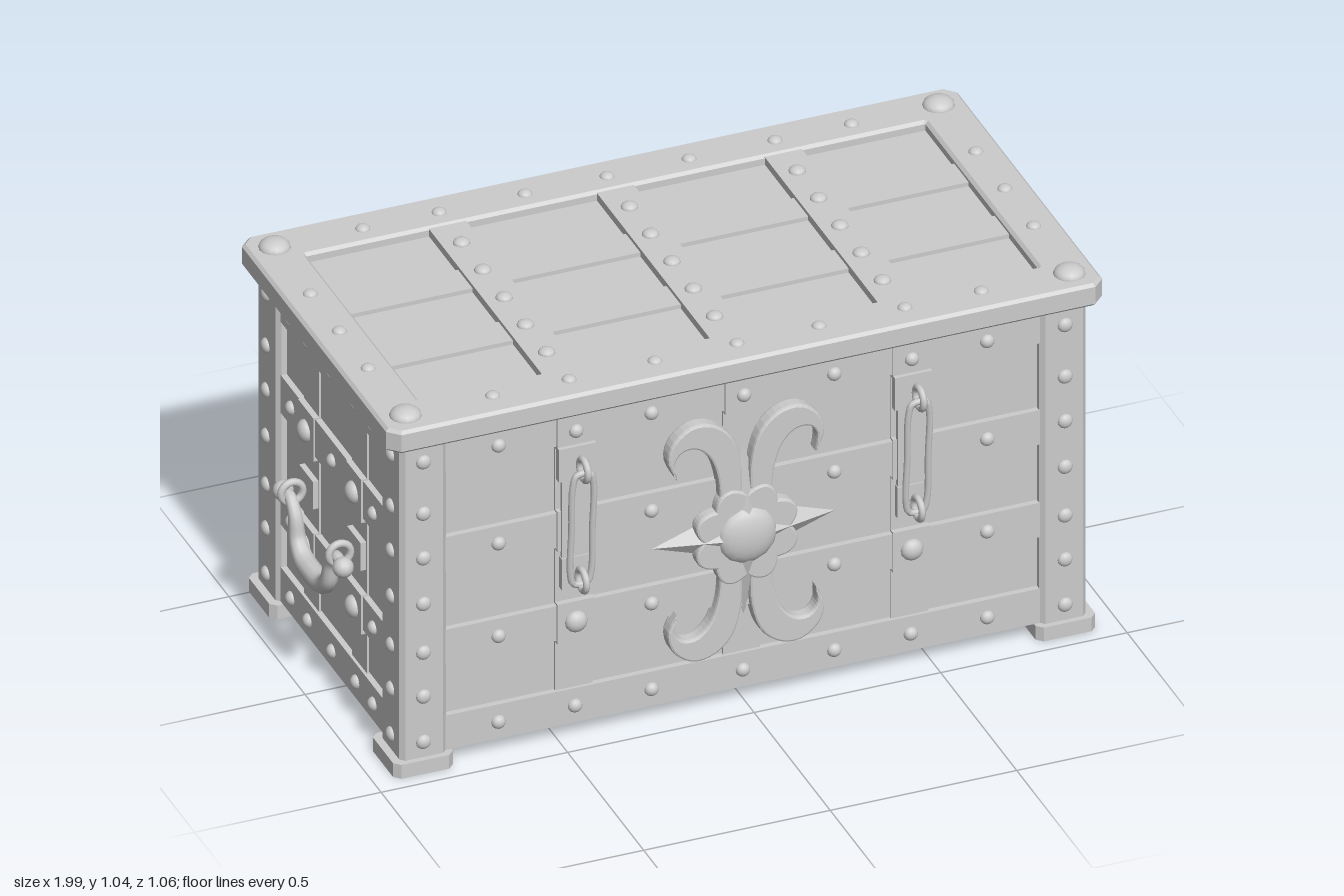
import * as THREE from 'three';

const steel = new THREE.MeshStandardMaterial({ color: 0xcccccc, side: THREE.DoubleSide });
const faceted = new THREE.MeshStandardMaterial({ color: 0xcccccc, side: THREE.DoubleSide, flatShading: true });
const V = (x, y, z) => new THREE.Vector3(x, y, z);

function add(parent, name, geometry, x = 0, y = 0, z = 0, material = steel) {
  const mesh = new THREE.Mesh(geometry, material);
  mesh.name = name;
  mesh.position.set(x, y, z);
  parent.add(mesh);
  return mesh;
}

// Half dome facing +z
const domeGeometry = new THREE.SphereGeometry(1, 14, 6, 0, Math.PI * 2, 0, Math.PI / 2).rotateX(Math.PI / 2);
function rivet(parent, x, y, z, r = 0.02, h = 0.014, name = 'rivet') {
  const m = add(parent, name, domeGeometry, x, y, z);
  m.scale.set(r, r, h);
  return m;
}

// Rectangle with cut corners, optionally with a similar hole
function rectangle(w, d, cut, holeW, holeD) {
  const trace = (p, a, b, c) => p.setFromPoints([[a - c, -b], [a, c - b], [a, b - c], [a - c, b],
    [c - a, b], [-a, b - c], [-a, c - b], [c - a, -b]].map(([x, y]) => new THREE.Vector2(x, y)));
  const shape = trace(new THREE.Shape(), w / 2, d / 2, cut);
  if (holeW) shape.holes.push(trace(new THREE.Path(), holeW / 2, holeD / 2, 0.002));
  return shape;
}

function upright(shape, height, bevel = 0) {
  const g = new THREE.ExtrudeGeometry(shape, {
    depth: height - 2 * bevel, bevelEnabled: bevel > 0, bevelSize: bevel,
    bevelThickness: bevel, bevelOffset: -bevel, bevelSegments: 1,
  });
  return g.translate(0, 0, bevel).rotateX(-Math.PI / 2);
}

// Thin stepped sheet: raised over each [bottom, top] band, set back elsewhere
function steppedSheet(bands, y0, y1, low, high, length, t = 0.005) {
  const side = (shift, inset) => {
    const pts = [];
    const put = (z, y) => pts.push(new THREE.Vector2(z - shift, y));
    if (bands[0][0] > y0) put(low, y0);
    for (const [a, b] of bands) {
      const bottom = a <= y0 ? y0 : a + inset, top = b >= y1 ? y1 : b - inset;
      if (a > y0) put(low, bottom);
      put(high, bottom);
      put(high, top);
      if (b < y1) put(low, top);
    }
    if (bands[bands.length - 1][1] < y1) put(low, y1);
    return pts;
  };
  const shape = new THREE.Shape([...side(0, 0), ...side(t, t).reverse()]);
  return new THREE.ExtrudeGeometry(shape, { depth: length, bevelEnabled: false })
    .translate(0, 0, -length / 2).rotateY(-Math.PI / 2);
}

// One wall facing +z, with bands, straps and rivets
function wall(root, o) {
  const g = new THREE.Group();
  g.name = o.name;
  g.rotation.y = o.turn;
  root.add(g);
  const bands = [[0.04, 0.14], o.lowBand, o.highBand, [0.855, 0.955]];
  const high = o.face - 0.01, low = high - 0.016, over = 0.008;
  add(g, 'plankWall', steppedSheet(bands, 0.04, 0.955, low, high, o.length));
  const wrapped = bands.slice(1, o.strapTop > 0.9 ? 4 : 3).map(([a, b]) => [a - over, b + over]);
  for (const x of o.straps) {
    add(g, 'strap', steppedSheet(wrapped, 0.14, o.strapTop, low + over, high + over, 0.1), x);
  }
  // Rivet rows: larger heads where the outer straps cross the middle bands
  o.rows.forEach((y, row) => {
    const middle = row === 1 || row === 2;
    for (const x of o.columns) {
      const onStrap = o.straps.includes(x);
      if (middle && x === 0 && o.straps.includes(0)) continue;
      if (o.hasps && row === 2 && onStrap) continue;
      const big = middle && onStrap;
      rivet(g, x, y, high + (onStrap && (middle || o.strapTop > 0.9) && row ? over : 0),
        big ? 0.03 : 0.019, big ? 0.022 : 0.016);
    }
  });
  for (const s of [-1, 1]) {
    for (const y of [0.085, 0.217, 0.345, 0.487, 0.62, 0.75, 0.9]) rivet(g, s * o.postColumn, y, o.face);
  }
  return g;
}

function eyeRing(parent, x, y, z, R = 0.028, r = 0.009) {
  add(parent, 'eyeRing', new THREE.TorusGeometry(R, r, 10, 20).rotateY(Math.PI / 2), x, y, z);
}

// Carrying handle, thick in the middle, with ball ends
function handle(g, face) {
  const half = [[0.197, 0.458], [0.15, 0.464], [0.118, 0.43], [0.103, 0.37], [0.065, 0.335]];
  const z = face + 0.042;
  const path = new THREE.CatmullRomCurve3([...half.map(([x, y]) => V(-x, y, z)), V(0, 0.328, z),
    ...half.reverse().map(([x, y]) => V(x, y, z))]);
  const rings = 48, sides = 10;
  const geo = new THREE.TubeGeometry(path, rings, 0.015, sides);
  const pos = geo.attributes.position, p = V(0, 0, 0);
  for (let i = 0; i <= rings; i++) {
    const c = path.getPointAt(i / rings), k = 1 + 0.9 * Math.sin(Math.PI * i / rings) ** 2;
    for (let j = 0; j <= sides; j++) {
      const n = i * (sides + 1) + j;
      p.fromBufferAttribute(pos, n).sub(c).multiplyScalar(k).add(c);
      pos.setXYZ(n, p.x, p.y, p.z);
    }
  }
  add(g, 'handle', geo);
  for (const s of [-1, 1]) {
    add(g, 'handleBall', new THREE.SphereGeometry(0.027, 14, 10), s * 0.197, 0.458, z);
    add(g, 'handlePlate', new THREE.BoxGeometry(0.09, 0.08, 0.018), s * 0.157, 0.48, face - 0.012);
    eyeRing(g, s * 0.157, 0.474, face + 0.035, 0.029, 0.01);
  }
}

// Hasp: plates, two eye rings and a long link
function hasp(g, x) {
  add(g, 'haspBackPlate', new THREE.BoxGeometry(0.08, 0.32, 0.012), x, 0.605, 0.474);
  add(g, 'haspTopPlate', new THREE.BoxGeometry(0.1, 0.095, 0.02), x, 0.808, 0.474);
  add(g, 'haspLowerPlate', new THREE.BoxGeometry(0.085, 0.09, 0.018), x, 0.49, 0.475);
  eyeRing(g, x, 0.81, 0.524);
  eyeRing(g, x, 0.483, 0.514);
  const w = 0.028;
  const loop = [[-w, 0.76], [-w, 0.63], [-w, 0.5], [-0.018, 0.468], [0.018, 0.468],
    [w, 0.5], [w, 0.63], [w, 0.76], [0.018, 0.795], [-0.018, 0.795]]
    .map(([a, y]) => V(a, y, 0.502 + (y - 0.47) * 0.06));
  add(g, 'haspLink', new THREE.TubeGeometry(new THREE.CatmullRomCurve3(loop, true), 60, 0.009, 8, true), x);
}

// Central ornament: four scrolls, lobed plate, star and boss
function ornament(g) {
  const outer = [[0.012, 0.1], [0.012, 0.2], [0.035, 0.285], [0.085, 0.334], [0.145, 0.342],
    [0.195, 0.305], [0.21, 0.25], [0.186, 0.196]];
  const inner = [[0.186, 0.196], [0.19, 0.245], [0.168, 0.274], [0.13, 0.272], [0.095, 0.235], [0.075, 0.17], [0.07, 0.1]];
  const bevel = { bevelEnabled: true, bevelSize: 0.006, bevelThickness: 0.008, bevelOffset: -0.006, bevelSegments: 2 };
  for (const sx of [-1, 1]) for (const sy of [-1, 1]) {
    const smooth = (pts) => new THREE.SplineCurve(pts.map(([x, y]) => new THREE.Vector2(sx * x, sy * y))).getPoints(24);
    const shape = new THREE.Shape([...smooth(outer), ...smooth(inner).slice(1)]);
    add(g, 'scroll', new THREE.ExtrudeGeometry(shape, { depth: 0.026, ...bevel }), 0, 0.5, 0.458);
  }
  const lobes = [];
  for (let i = 0; i < 96; i++) {
    const a = i / 96 * Math.PI * 2, r = 0.118 + 0.026 * Math.abs(Math.sin(4 * a));
    lobes.push(new THREE.Vector2(r * Math.cos(a), r * Math.sin(a)));
  }
  add(g, 'lobedPlate', new THREE.ExtrudeGeometry(new THREE.Shape(lobes), { depth: 0.022, ...bevel }), 0, 0.5, 0.468);
  const star = new THREE.ConeGeometry(0.245, 0.055, 8, 1, true).toNonIndexed();
  const pos = star.attributes.position;
  for (let i = 0; i < pos.count; i++) {
    const x = pos.getX(i), z = pos.getZ(i);
    if (Math.abs(x * z) > 0.01) pos.setXYZ(i, x * 0.36, pos.getY(i), z * 0.36);
  }
  star.rotateX(Math.PI / 2).computeVertexNormals();
  add(g, 'star', star, 0, 0.5, 0.497, faceted);
  rivet(g, 0, 0.5, 0.492, 0.08, 0.034, 'boss');
}

function lid(root) {
  const g = new THREE.Group();
  g.name = 'lid';
  root.add(g);
  add(g, 'lidFrame', upright(rectangle(1.92, 1.006, 0.03, 1.66, 0.74), 0.065, 0.008), 0, 0.953);
  add(g, 'lidPanel', new THREE.BoxGeometry(1.68, 0.035, 0.76), 0, 0.974);
  for (const s of [-1, 1]) add(g, 'lidBand', new THREE.BoxGeometry(1.67, 0.012, 0.095), 0, 0.997, s * 0.133);
  // Studs sit on a plane turned to face up: its y runs along -z
  const studs = new THREE.Group();
  studs.name = 'lidStuds';
  studs.rotation.x = -Math.PI / 2;
  g.add(studs);
  for (const x of [-0.45, 0, 0.45]) {
    add(g, 'lidStrap', new THREE.BoxGeometry(0.1, 0.022, 0.745), x, 1.002);
    for (const z of [-0.28, -0.14, 0, 0.14, 0.28]) rivet(studs, x, z, 1.013, 0.022);
  }
  for (const s of [-1, 1]) {
    for (const x of [-0.655, -0.45, -0.22, 0, 0.22, 0.45, 0.655]) rivet(studs, x, s * 0.427, 1.017, 0.019, 0.013);
    for (const z of [-0.19, 0, 0.19]) rivet(studs, s * 0.892, z, 1.017, 0.019, 0.013);
    for (const z of [-1, 1]) rivet(studs, s * 0.89, z * 0.43, 1.017, 0.041, 0.025, 'cornerStud');
  }
}

export function createModel() {
  const model = new THREE.Group();
  model.name = 'chest';
  const root = new THREE.Group();
  root.name = 'chestBody';
  root.position.set(-0.004, 0, -0.03);
  model.add(root);

  // Hollow corner posts on hollow feet
  for (const sx of [-1, 1]) for (const sz of [-1, 1]) {
    add(root, 'cornerPost', upright(rectangle(0.125, 0.135, 0.012, 0.113, 0.123), 0.925), sx * 0.8575, 0.03, sz * 0.4075);
    add(root, 'foot', upright(rectangle(0.16, 0.165, 0.016, 0.085, 0.09), 0.04), sx * 0.861, 0, sz * 0.4075);
  }

  // Walls
  const long = {
    face: 0.475, length: 1.6, lowBand: [0.29, 0.39], highBand: [0.56, 0.66], straps: [-0.45, 0, 0.45], strapTop: 0.95,
    columns: [-0.655, -0.45, -0.245, 0, 0.245, 0.45, 0.655], rows: [0.09, 0.34, 0.61, 0.895], postColumn: 0.86,
  };
  const short = {
    face: 0.92, length: 0.69, lowBand: [0.265, 0.363], highBand: [0.59, 0.7], straps: [-0.157, 0.157], strapTop: 0.855,
    columns: [-0.27, -0.157, 0, 0.157, 0.27], rows: [0.09, 0.312, 0.645, 0.902], postColumn: 0.41,
  };
  // Middle-row rivets flank the ornament, which covers the centre strap
  const front = wall(root, { ...long, name: 'frontWall', turn: 0, hasps: true });
  const back = wall(root, { ...long, name: 'backWall', turn: Math.PI });
  for (const s of [-1, 1]) handle(wall(root, { ...short, name: s > 0 ? 'leftWall' : 'rightWall', turn: s * Math.PI / 2 }), 0.92);

  for (const x of [-0.45, 0.45]) {
    hasp(front, x);
    // Hinge knuckles either side of each back strap
    for (const s of [-1, 1]) {
      add(back, 'hingeKnuckle', new THREE.CylinderGeometry(0.018, 0.018, 0.08, 10).rotateZ(Math.PI / 2), x + s * 0.085, 0.935, 0.475);
    }
  }
  ornament(front);
  lid(root);
  return model;
}
